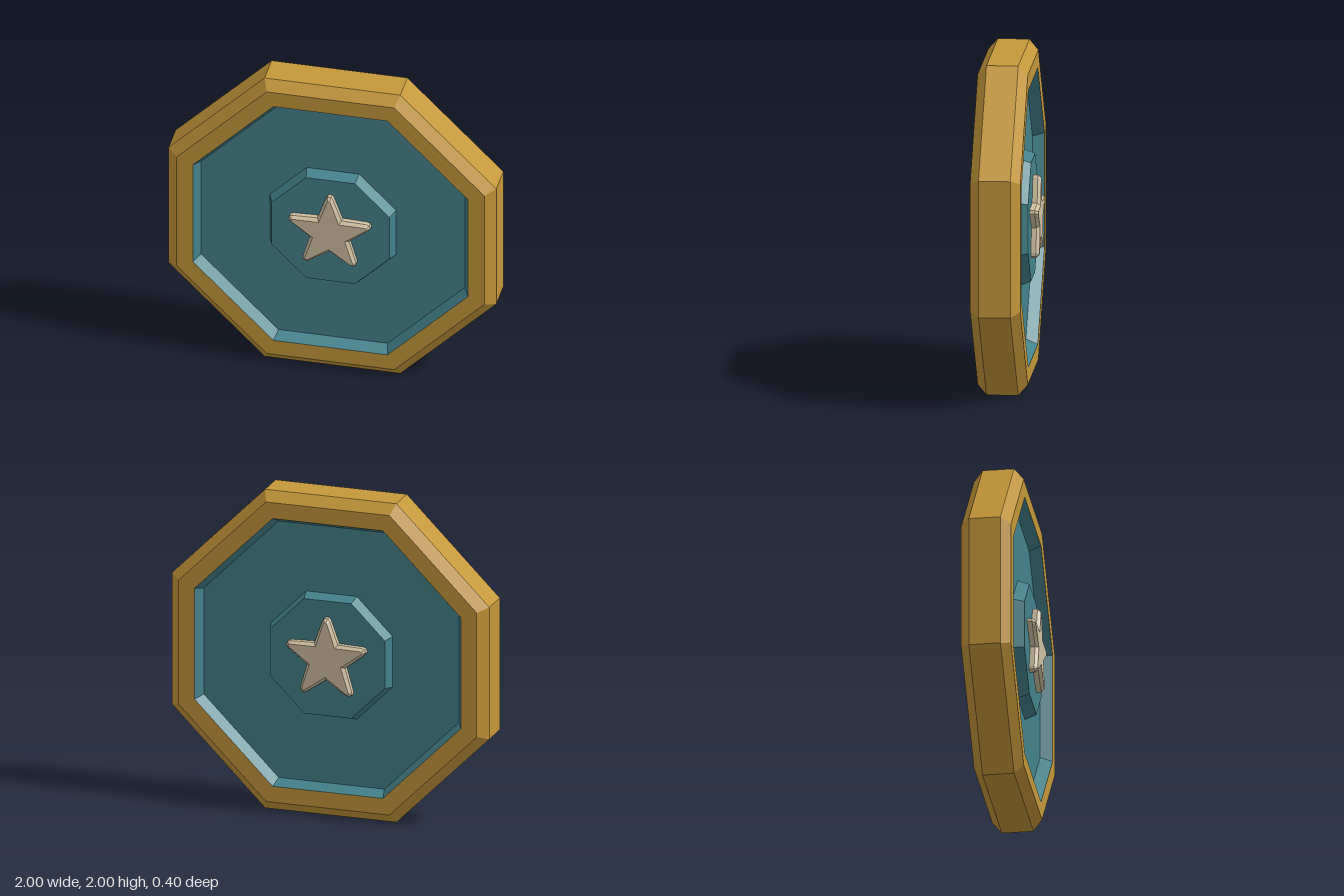
import * as THREE from 'three';

const gold = new THREE.MeshStandardMaterial({ color: 0xc4973a });
gold.name = 'gold';
const teal = new THREE.MeshStandardMaterial({ color: 0x44828c });
teal.name = 'teal';
const cream = new THREE.MeshStandardMaterial({ color: 0xcfc0a1 });
cream.name = 'cream';

const SIDES = 8;
const CORNER = 1 / Math.cos(Math.PI / SIDES); // flat-to-flat radius -> corner radius

// Flat-sided octagonal ring swept from [radius, z] points, axis along z
function octagonRing(profile) {
  const points = profile.map(([r, z]) => new THREE.Vector2(r * CORNER, z));
  const geometry = new THREE.LatheGeometry(points, SIDES, Math.PI / SIDES)
    .rotateX(Math.PI / 2)
    .toNonIndexed();
  geometry.computeVertexNormals();
  return geometry;
}

function part(name, geometry, material) {
  const mesh = new THREE.Mesh(geometry, material);
  mesh.name = name;
  return mesh;
}

// Five-pointed star outline, counter-clockwise; every tip is the list of [across, out] points
function starOutline(tip, notch) {
  const outline = [];
  for (let i = 0; i < 5; i++) {
    const a = (i * Math.PI * 2) / 5;
    for (const [x, y] of tip) {
      outline.push(new THREE.Vector2(x, y).rotateAround(new THREE.Vector2(), a));
    }
    const b = a + Math.PI / 5;
    outline.push(new THREE.Vector2(-Math.sin(b) * notch, Math.cos(b) * notch));
  }
  return outline;
}

const starBase = starOutline([[0.023, 0.243], [0.011, 0.26], [-0.011, 0.26], [-0.023, 0.243]], 0.126);
const starTop = starOutline([[0.011, 0.232], [0.006, 0.24], [-0.006, 0.24], [-0.011, 0.232]], 0.103);

// Star walls and bevel, joined from three cross-sections
function starSides() {
  const loops = [[starBase, 0.15], [starBase, 0.18], [starTop, 0.2]];
  const positions = [];
  for (let l = 0; l < loops.length - 1; l++) {
    const [low, zLow] = loops[l];
    const [high, zHigh] = loops[l + 1];
    low.forEach((p, i) => {
      const j = (i + 1) % low.length;
      const a = [p.x, p.y, zLow];
      const b = [low[j].x, low[j].y, zLow];
      const c = [high[j].x, high[j].y, zHigh];
      const d = [high[i].x, high[i].y, zHigh];
      positions.push(...a, ...b, ...c, ...a, ...c, ...d);
    });
  }
  const geometry = new THREE.BufferGeometry();
  geometry.setAttribute('position', new THREE.Float32BufferAttribute(positions, 3));
  geometry.computeVertexNormals();
  return geometry;
}

// One side of the medallion: recessed dish, raised centre and star
function createFace(name) {
  const face = new THREE.Group();
  face.name = name;

  const dish = octagonRing([[0.84, 0.15], [0.805, 0.08], [0.385, 0.08], [0.36, 0.15]]);
  face.add(part('recessedDish', dish, teal));

  const plate = new THREE.CircleGeometry(0.36 * CORNER, SIDES, Math.PI / SIDES);
  plate.translate(0, 0, 0.15);
  face.add(part('raisedCentre', plate, teal));

  const star = new THREE.Group();
  star.name = 'star';
  const cap = new THREE.ShapeGeometry(new THREE.Shape(starTop)).translate(0, 0, 0.2);
  star.add(part('starSides', starSides(), cream), part('starTop', cap, cream));
  face.add(star);
  return face;
}

export function createModel() {
  const model = new THREE.Group();
  model.name = 'medallion';

  // Bevelled outer rim
  const rim = octagonRing([
    [0.84, -0.15], [0.94, -0.15], [1, -0.095], [1, 0.095], [0.94, 0.15], [0.84, 0.15],
  ]);
  model.add(part('rim', rim, gold));

  // Matching front and back
  const back = createFace('backFace');
  back.rotation.y = Math.PI;
  model.add(createFace('frontFace'), back);

  model.children.forEach((child) => { child.position.y = 1; });
  return model;
}
